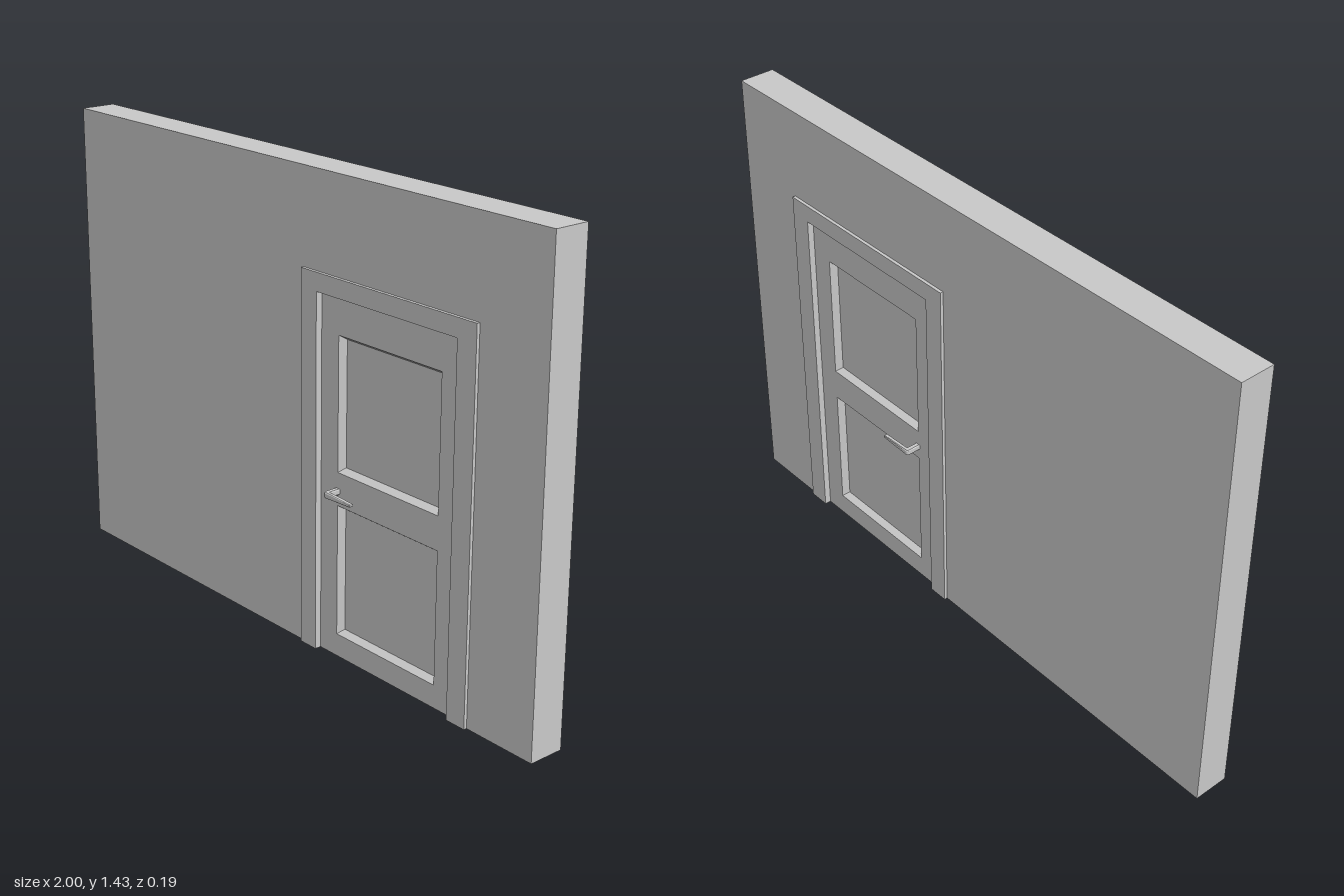
import * as THREE from 'three';

const mat = new THREE.MeshStandardMaterial({ color: 0xcccccc, flatShading: true });

// Key dimensions
const H = 1.43, WALL_Z = 0.056, FRAME_Z = 0.066, DOOR_Z = 0.046, PANEL_Z = 0.026;
const outer = { x0: 0.077, x1: 0.761, top: 1.144 };
const inner = { x0: 0.142, x1: 0.692, top: 1.089 };
const panels = [[0.214, 0.07, 0.62, 0.472], [0.214, 0.573, 0.62, 0.977]];
const BEVEL = 0.013;

const poly = (pts) => pts.map(([x, y]) => new THREE.Vector2(x, y));
const rect = (x0, y0, x1, y1) => poly([[x0, y0], [x1, y0], [x1, y1], [x0, y1]]);

function add(parent, name, geometry) {
  const mesh = new THREE.Mesh(geometry, mat);
  mesh.name = name;
  parent.add(mesh);
  return mesh;
}

// Extrude a shape symmetrically from -halfDepth to +halfDepth
function slab(points, halfDepth, holes = []) {
  const shape = new THREE.Shape(points);
  holes.forEach((h) => shape.holes.push(new THREE.Path(h)));
  const g = new THREE.ExtrudeGeometry(shape, { depth: halfDepth * 2, bevelEnabled: false });
  return g.translate(0, 0, -halfDepth);
}

// Upright outline that leaves a doorway open down to the floor
function archway(x0, x1, top, hole) {
  return poly([[x0, 0], [hole.x0, 0], [hole.x0, hole.top], [hole.x1, hole.top],
    [hole.x1, 0], [x1, 0], [x1, top], [x0, top]]);
}

// Sunken panel: four sloping sides and a flat middle, facing +z
function sunkenPanel(w, h) {
  const ring = (x, y, z) => [[-x, -y, z], [x, -y, z], [x, y, z], [-x, y, z]];
  const v = [...ring(w / 2, h / 2, DOOR_Z), ...ring(w / 2 - BEVEL, h / 2 - BEVEL, PANEL_Z)];
  const index = [4, 5, 6, 4, 6, 7];
  for (let i = 0; i < 4; i++) {
    const j = (i + 1) % 4;
    index.push(i, j, j + 4, i, j + 4, i + 4);
  }
  const g = new THREE.BufferGeometry();
  g.setAttribute('position', new THREE.Float32BufferAttribute(v.flat(), 3));
  g.setIndex(index);
  const flat = g.toNonIndexed();
  flat.computeVertexNormals();
  return flat;
}

// Lever handle: an L seen from above, with a rounded elbow and a tapering grip
function leverHandle() {
  const s = new THREE.Shape();
  const out = 0.095 - DOOR_Z, len = 0.112, t = 0.013;
  s.moveTo(0, 0);
  s.lineTo(0.016, 0);
  s.lineTo(0.016, -(out - t));
  s.lineTo(len, -(out - t));
  s.lineTo(len, -out);
  s.lineTo(0.008, -out);
  s.quadraticCurveTo(0, -out, 0, -out + 0.008);
  s.closePath();
  const g = new THREE.ExtrudeGeometry(s, {
    depth: 0.012, bevelEnabled: true, bevelThickness: 0.003, bevelSize: 0.002,
    bevelOffset: -0.002, bevelSegments: 1, curveSegments: 4,
  });
  g.translate(0, 0, -0.006).rotateX(-Math.PI / 2);
  // Slim the grip toward its tip
  const p = g.attributes.position;
  for (let i = 0; i < p.count; i++) {
    const k = Math.max(0, p.getX(i) - 0.016) / (len - 0.016);
    p.setY(i, p.getY(i) * (1 - 0.5 * k));
  }
  g.computeVertexNormals();
  return g;
}

export function createModel() {
  const model = new THREE.Group();
  model.name = 'wallWithDoor';

  add(model, 'wall', slab(archway(-1, 1, H, outer), WALL_Z));
  add(model, 'doorFrame', slab(archway(outer.x0, outer.x1, outer.top, inner), FRAME_Z));

  const door = new THREE.Group();
  door.name = 'door';
  model.add(door);
  add(door, 'doorLeaf', slab(rect(inner.x0, 0, inner.x1, inner.top), DOOR_Z,
    panels.map((p) => rect(...p))));

  // Panels and handles on both faces
  for (const side of [1, -1]) {
    const face = side > 0 ? 'front' : 'back';
    panels.forEach(([x0, y0, x1, y1], i) => {
      const panel = add(door, `${face}${i ? 'Upper' : 'Lower'}Panel`, sunkenPanel(x1 - x0, y1 - y0));
      panel.position.set((x0 + x1) / 2, (y0 + y1) / 2, 0);
      if (side < 0) panel.rotation.y = Math.PI;
    });
    const handle = add(door, `${face}Handle`, leverHandle());
    handle.position.set(0.208, 0.517, side * DOOR_Z);
    // Half turn about x keeps the grip pointing the same way on the back
    if (side < 0) handle.rotation.x = Math.PI;
  }
  return model;
}
